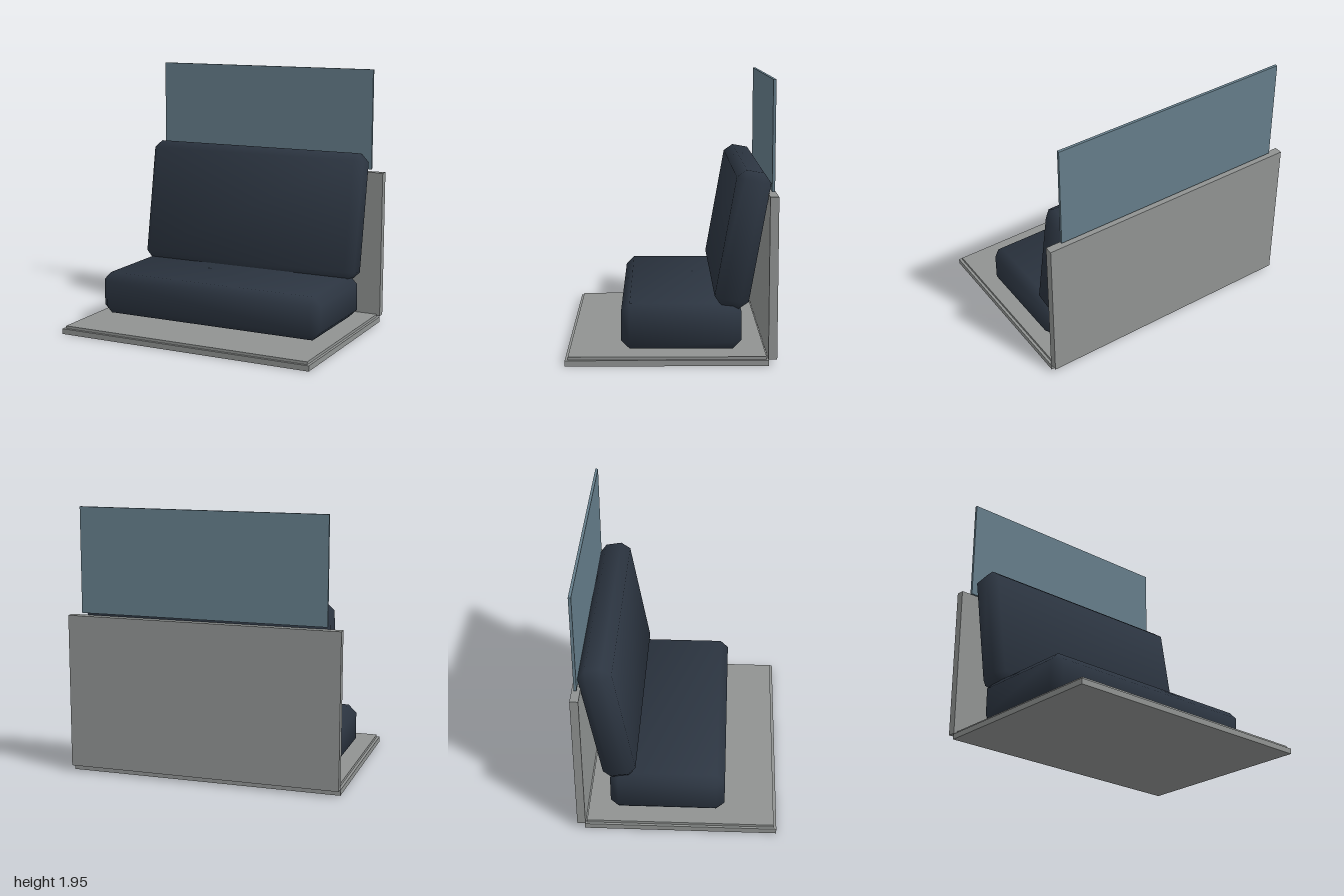
import * as THREE from 'three';
import { ConvexGeometry } from 'three/addons/geometries/ConvexGeometry.js';

const material = (name, color) => {
  const m = new THREE.MeshStandardMaterial({ color });
  m.name = name;
  return m;
};

// Box with a single flat bevel on every edge and softly shaded normals
function cushionGeometry(width, height, depth, bevel) {
  const half = [width / 2, height / 2, depth / 2];
  const points = [];
  for (let axis = 0; axis < 3; axis++)
    for (const sx of [-1, 1]) for (const sy of [-1, 1]) for (const sz of [-1, 1]) {
      const p = [sx, sy, sz].map((s, i) => s * (half[i] - (i === axis ? 0 : bevel)));
      points.push(new THREE.Vector3(...p));
    }
  const geometry = new ConvexGeometry(points);
  const pos = geometry.attributes.position;
  const normal = new THREE.Vector3();
  for (let v = 0; v < pos.count; v++) {
    // lean each normal mostly towards the face its corner lies on
    const n = half.map((h, i) => {
      const c = pos.getComponent(v, i);
      return Math.sign(c) * (Math.abs(c) > h - bevel / 2 ? 2.5 : 1);
    });
    normal.set(...n).normalize();
    geometry.attributes.normal.setXYZ(v, normal.x, normal.y, normal.z);
  }
  return geometry;
}

export function createModel() {
  const group = new THREE.Group();
  group.name = 'benchSeat';
  const grey = material('panelGrey', 0x909392);
  const glass = material('windowBlue', 0x657d8a);
  const navy = material('cushionNavy', 0x2c3541);

  const add = (name, geometry, mat, x, y, z) => {
    const mesh = new THREE.Mesh(geometry, mat);
    mesh.name = name;
    mesh.position.set(x, y, z);
    group.add(mesh);
    return mesh;
  };
  // Plain slab given by its width and its y and z limits
  const slab = (name, mat, width, y0, y1, z0, z1) =>
    add(name, new THREE.BoxGeometry(width, y1 - y0, z1 - z0), mat, 0, (y0 + y1) / 2, (z0 + z1) / 2);

  // Floor, wall and window
  slab('floorBase', grey, 2, 0, 0.04, -0.67, 0.725);
  slab('floorCovering', grey, 1.96, 0.04, 0.06, -0.655, 0.705);
  slab('wallPanel', grey, 2, 0.045, 1.165, -0.725, -0.665);
  slab('windowPane', glass, 1.8, 1.185, 1.945, -0.705, -0.685);

  // Seat and reclined backrest
  add('seatCushion', cushionGeometry(1.8, 0.32, 0.835, 0.06), navy, 0, 0.24, -0.073);
  const back = add('backrestCushion', cushionGeometry(1.8, 0.96, 0.24, 0.06), navy, 0, 0.845, -0.494);
  back.rotation.x = -Math.PI / 18;

  return group;
}
